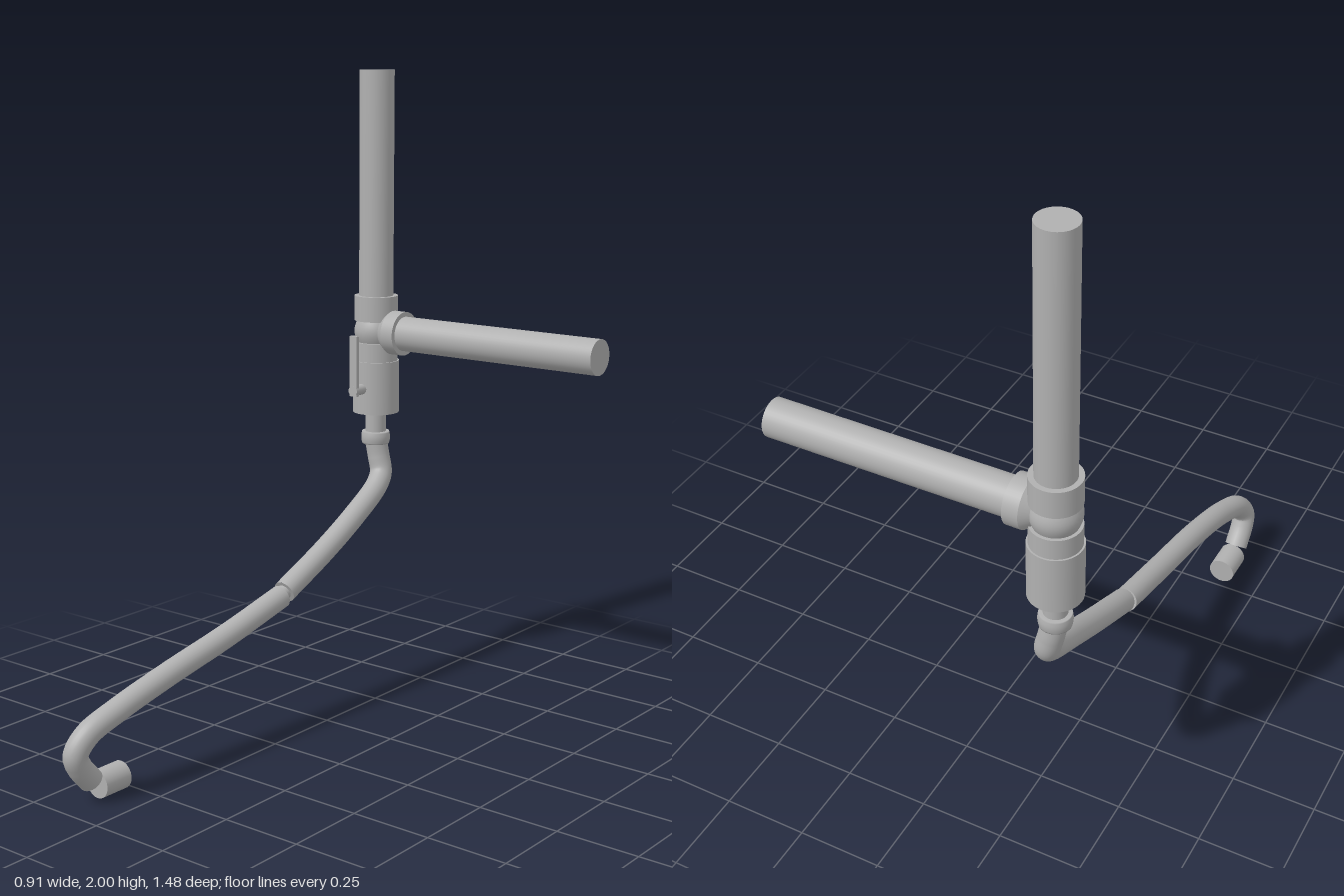
import * as THREE from 'three';

const X = -0.38, Z = -0.667; // vertical pipe axis

export function createModel() {
  const model = new THREE.Group();
  const grey = new THREE.MeshStandardMaterial({ color: 0xb0b0b0 });
  grey.name = 'matte grey';

  const add = (name, geometry, x = 0, y = 0, z = 0, parent = model) => {
    const mesh = new THREE.Mesh(geometry, grey);
    mesh.name = name;
    mesh.position.set(x, y, z);
    parent.add(mesh);
    return mesh;
  };
  const rod = (name, r, y0, y1) =>
    add(name, new THREE.CylinderGeometry(r, r, y1 - y0, 40), X, (y0 + y1) / 2, Z);

  // Vertical run, from the top down to the hose collar
  rod('uprightPipe', 0.055, 1.25, 2);
  rod('teeUpperCollar', 0.07, 1.21, 1.29);
  rod('teeLowerCollar', 0.07, 1.075, 1.14);
  rod('valveBody', 0.075, 0.91, 1.08);
  rod('hoseNipple', 0.033, 0.83, 0.92);

  // Rounded tee centre and clamp ring
  const bulge = (name, y0, y1, rEnd, rMid) => {
    const pts = [new THREE.Vector2(0, y0)];
    for (let i = 0; i <= 10; i++) {
      const t = i / 10;
      pts.push(new THREE.Vector2(rEnd + (rMid - rEnd) * Math.sin(Math.PI * t), y0 + (y1 - y0) * t));
    }
    pts.push(new THREE.Vector2(0, y1));
    add(name, new THREE.LatheGeometry(pts, 40), X, 0, Z);
  };
  bulge('teeCentre', 1.13, 1.22, 0.056, 0.07);
  bulge('hoseCollar', 0.805, 0.845, 0.044, 0.047);

  // Side branch of the tee
  const branch = (name, r0, r1, x0, x1) => {
    const mesh = add(name, new THREE.CylinderGeometry(r1, r0, x1 - x0, 40), (x0 + x1) / 2, 1.175, Z);
    mesh.rotation.z = -Math.PI / 2;
  };
  branch('branchNeck', 0.045, 0.045, X, -0.33);
  branch('branchTaper', 0.045, 0.07, -0.345, -0.31);
  branch('branchCollar', 0.07, 0.07, -0.31, -0.265);
  branch('sidePipe', 0.055, 0.055, -0.29, 0.45);

  // Lever handle in front of the valve
  const handle = new THREE.Group();
  handle.name = 'valveHandle';
  model.add(handle);
  const stem = add('handleStem', new THREE.CylinderGeometry(0.017, 0.017, 0.07, 24), X, 0.993, -0.58, handle);
  stem.rotation.x = Math.PI / 2;
  add('handleLever', new THREE.BoxGeometry(0.028, 0.195, 0.014), X, 1.073, -0.553, handle);

  // Hose lengths: tubes closed with discs
  const hose = (name, r, points) => {
    const group = new THREE.Group();
    group.name = name;
    model.add(group);
    const curve = new THREE.CatmullRomCurve3(points.map((p) => new THREE.Vector3(...p)), false, 'centripetal');
    add(name + 'Tube', new THREE.TubeGeometry(curve, 70, r, 24), 0, 0, 0, group);
    for (const t of [0, 1]) {
      const p = curve.getPointAt(t);
      const out = curve.getTangentAt(t).multiplyScalar(t ? 1 : -1);
      const cap = add(name + 'End', new THREE.CircleGeometry(r, 24), p.x, p.y, p.z, group);
      cap.quaternion.setFromUnitVectors(new THREE.Vector3(0, 0, 1), out);
    }
  };
  hose('upperHose', 0.036, [
    [X, 0.82, Z], [-0.37, 0.76, -0.671], [-0.357, 0.71, -0.666], [-0.347, 0.672, -0.628],
    [-0.337, 0.6, -0.5], [-0.332, 0.52, -0.34], [-0.33, 0.432, -0.142],
  ]);
  hose('hoseJoint', 0.024, [[-0.33, 0.437, -0.155], [-0.33, 0.428, -0.13], [-0.33, 0.418, -0.1]]);
  hose('lowerHose', 0.036, [
    [-0.33, 0.421, -0.125], [-0.333, 0.36, 0.12], [-0.34, 0.305, 0.37], [-0.352, 0.252, 0.56],
    [-0.366, 0.207, 0.665], [-0.377, 0.155, 0.7], [-0.38, 0.115, 0.685], [-0.38, 0.062, 0.642],
  ]);

  // Nozzle fitting resting at the hose end
  const nozzle = add('nozzle', new THREE.CylinderGeometry(0.041, 0.041, 0.095, 32), X, 0.041, 0.571);
  nozzle.rotation.x = Math.PI / 2;

  return model;
}
